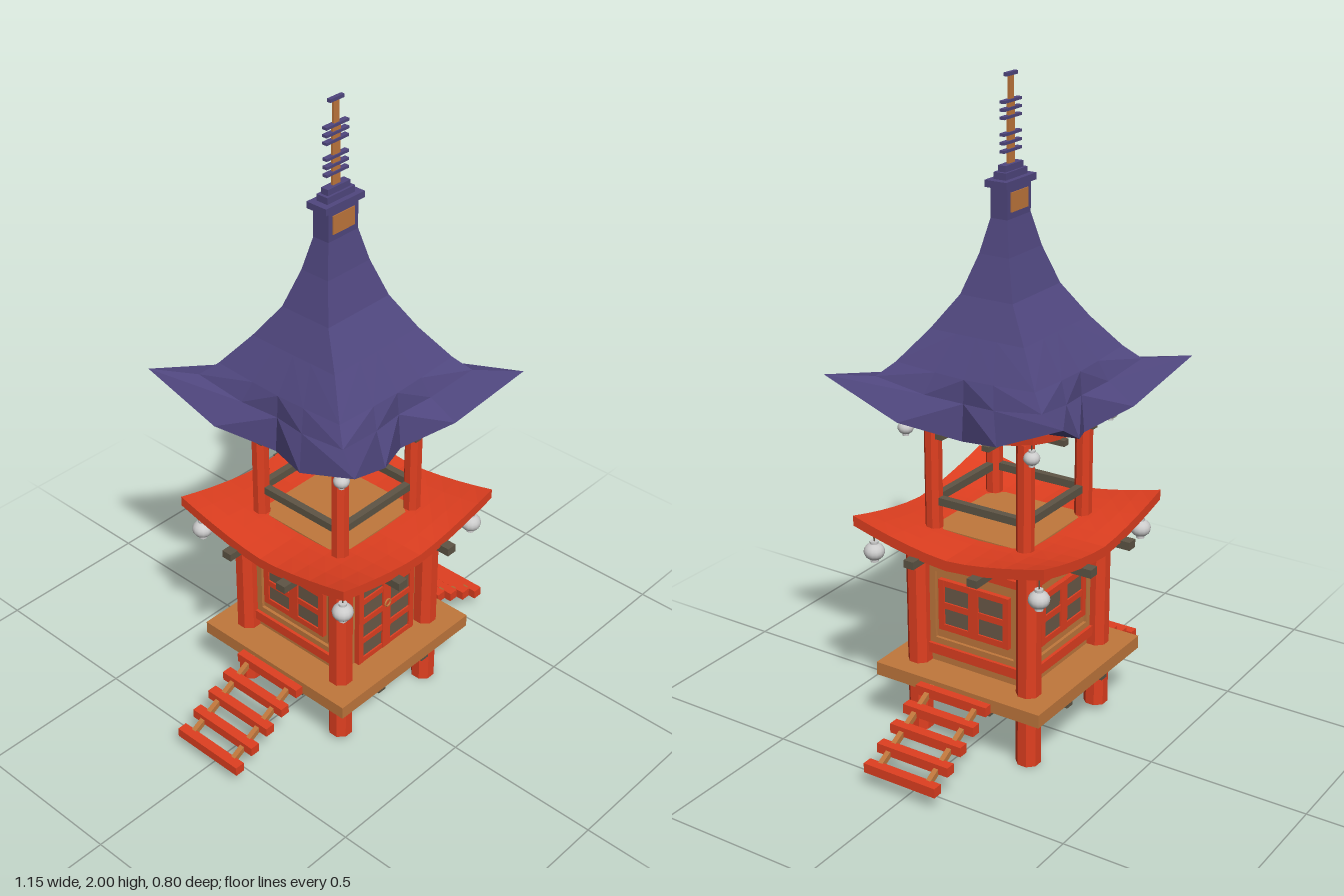
import * as THREE from 'three';

const mat = (color, side = THREE.FrontSide) =>
  new THREE.MeshStandardMaterial({ color, flatShading: true, side });
const RED = mat(0xe03f20), TAN = mat(0xc0773c), DARK = mat(0x5e5545), PANE = mat(0x6b5a48);
const PURPLE = mat(0x50477f, THREE.DoubleSide);
const GREY = new THREE.MeshStandardMaterial({ color: 0xcccccc });
const SIGNS = [-1, 1];

function add(parent, name, geometry, material, x = 0, y = 0, z = 0) {
  const m = new THREE.Mesh(geometry, material);
  m.name = name;
  m.position.set(x, y, z);
  parent.add(m);
  return m;
}
const box = (parent, name, material, w, h, d, x, y, z) =>
  add(parent, name, new THREE.BoxGeometry(w, h, d), material, x, y, z);

function group(parent, name) {
  const g = new THREE.Group();
  g.name = name;
  parent.add(g);
  return g;
}

// Four octagonal posts between two heights
function posts(parent, name, at, r, y0, y1, shortLeft = 0) {
  for (const sx of SIGNS) for (const sz of SIGNS) {
    const b = sx < 0 ? y0 + shortLeft : y0;
    add(parent, name, new THREE.CylinderGeometry(r, r, y1 - b, 8).rotateY(Math.PI / 8),
      RED, sx * at, (b + y1) / 2, sz * at);
  }
}

// Two beams each way, crossing
function beamGrid(parent, at, len, y, t, h) {
  for (const s of SIGNS) {
    box(parent, 'crossBeam', DARK, t, h, len, s * at, y, 0);
    box(parent, 'crossBeam', DARK, len, h - 0.002, t, 0, y, s * at);
  }
}

// Square slab whose corners sweep upward
function sweptEave(parent, half, y, t, lift) {
  const geo = new THREE.BoxGeometry(half * 2, t, half * 2, 10, 1, 10);
  const p = geo.attributes.position;
  for (let i = 0; i < p.count; i++) {
    const k = Math.abs(p.getX(i) * p.getZ(i)) / (half * half);
    p.setY(i, p.getY(i) + lift * Math.pow(k, 1.5));
  }
  geo.computeVertexNormals();
  add(parent, 'sweptEave', geo, RED, 0, y, 0);
}

function lanterns(parent, at, y, r) {
  for (const sx of SIGNS) for (const sz of SIGNS) {
    const g = group(parent, 'lantern');
    g.position.set(sx * at, y, sz * at);
    add(g, 'lanternBody', new THREE.SphereGeometry(r, 14, 10).scale(1, 0.85, 1), GREY);
    for (const s of SIGNS)
      add(g, 'lanternCap', new THREE.CylinderGeometry(r * 0.4, r * 0.4, r * 0.25, 10), GREY, 0, s * r * 0.9, 0);
    add(g, 'lanternCord', new THREE.CylinderGeometry(r * 0.08, r * 0.08, r * 1.6, 5), DARK, 0, r * 1.6, 0);
  }
}

// Pair of leaves with rows of panes, facing +z
function panedPair(parent, name, cx, cy, w, h, rows, z) {
  const g = group(parent, name);
  g.position.set(cx, cy, z);
  const pw = w * 0.35, pitch = (h - 0.02) / rows;
  box(g, 'panes', PANE, w - 0.02, h - 0.02, 0.012, 0, 0, 0);
  for (const s of SIGNS) {
    box(g, 'outerStile', RED, w * 0.08, h, 0.024, s * w * 0.46, 0, 0);
    box(g, 'innerStile', RED, w * 0.069, h, 0.024, s * w * 0.0345, 0, 0);
    for (let i = 0; i <= rows; i++)
      box(g, 'rail', RED, pw, 0.02, 0.022, s * w * 0.245, -h / 2 + 0.01 + i * pitch, 0);
  }
  return g;
}

// Layered purple roof: each ring is a square of 16 points, bowed at the mid sides
const STEPS = [-1, -0.42, 0, 0.42];
function ring({ hx, hz, mx = hx, mz = hz, y, my = y }) {
  const pts = [];
  for (let side = 0; side < 4; side++) for (const t of STEPS) {
    const a = Math.abs(t), s = side < 2 ? 1 : -1;
    const yy = my + (y - my) * Math.pow(a, 1.4);
    if (side % 2 === 0) pts.push([s * hx * t, yy, s * (mz + (hz - mz) * Math.pow(a, 0.8))]);
    else pts.push([s * (mx + (hx - mx) * Math.pow(a, 0.4)), yy, -s * hz * t]);
  }
  return pts;
}
function roofGeometry(specs) {
  const rings = specs.map(ring), v = [];
  for (let r = 0; r + 1 < rings.length; r++) for (let i = 0; i < 16; i++) {
    const j = (i + 1) % 16, [a, b] = [rings[r], rings[r + 1]];
    // split mirrored about each side's middle
    if (i % 4 < 2) v.push(a[i], b[i], a[j], b[i], b[j], a[j]);
    else v.push(a[i], b[i], b[j], a[i], b[j], a[j]);
  }
  const geo = new THREE.BufferGeometry();
  geo.setAttribute('position', new THREE.Float32BufferAttribute(v.flat(), 3));
  geo.computeVertexNormals();
  return geo;
}

function stairs(parent, s) {
  const g = group(parent, 'stairs');
  for (let i = 0; i < 5; i++)
    box(g, 'tread', RED, 0.032, 0.03, 0.25, s * (0.301 + i * 0.0648), 0.2 - i * 0.0335, 0);
  for (const sz of SIGNS) {
    const rail = box(g, 'stairRail', TAN, 0.32, 0.018, 0.016, s * 0.42, 0.138, sz * 0.085);
    rail.rotation.z = -s * Math.atan2(0.0335, 0.0648);
  }
}

export function createModel() {
  const model = new THREE.Group();
  model.name = 'pagodaTower';
  const body = group(model, 'body');
  body.position.z = 0.005;

  // Platform, its beams and the two stairs
  box(body, 'platform', TAN, 0.58, 0.042, 0.58, 0, 0.209, 0);
  beamGrid(body, 0.1, 0.56, 0.177, 0.03, 0.024);
  for (const s of SIGNS) stairs(body, s);

  // Lower room
  posts(body, 'lowerPost', 0.195, 0.038, 0, 0.645, 0.02);
  box(body, 'roomWalls', TAN, 0.36, 0.41, 0.36, 0, 0.43, 0);
  for (let i = 0; i < 4; i++) {
    const f = group(body, i ? 'windowWall' : 'doorWall');
    f.rotation.y = i * Math.PI / 2;
    box(f, 'topRail', RED, 0.35, 0.025, 0.03, 0, 0.568, 0.185);
    if (i === 0) {
      const door = panedPair(f, 'doors', 0.01, 0.388, 0.252, 0.32, 4, 0.186);
      add(door, 'doorRing', new THREE.TorusGeometry(0.012, 0.003, 6, 12), TAN, 0, 0.015, 0.015);
    } else {
      box(f, 'bottomRail', RED, 0.35, 0.032, 0.03, 0, 0.28, 0.185);
      for (const s of SIGNS) {
        box(f, 'windowSurround', TAN, 0.02, 0.26, 0.02, s * 0.15, 0.425, 0.18);
        box(f, 'windowSurround', TAN, 0.32, 0.02, 0.02, 0, 0.425 + s * 0.12, 0.18);
      }
      panedPair(f, 'window', 0, 0.432, 0.248, 0.165, 2, 0.184);
    }
  }

  // Lower eave
  beamGrid(body, 0.11, 0.72, 0.63, 0.034, 0.026);
  sweptEave(body, 0.33, 0.644, 0.032, 0.06);
  lanterns(body, 0.288, 0.6, 0.032);

  // Open upper storey
  box(body, 'balconyFloor', TAN, 0.33, 0.012, 0.33, 0, 0.659, 0);
  posts(body, 'upperPost', 0.16, 0.027, 0.64, 1.0);
  for (const s of SIGNS) {
    box(body, 'railing', DARK, 0.3, 0.024, 0.022, 0, 0.753, s * 0.16);
    box(body, 'railing', DARK, 0.022, 0.024, 0.3, s * 0.16, 0.753, 0);
  }
  beamGrid(body, 0.08, 0.49, 0.992, 0.024, 0.018);
  sweptEave(body, 0.228, 1.002, 0.023, 0.04);
  lanterns(body, 0.216, 0.985, 0.024);

  // Great roof, ending in a soffit
  add(model, 'greatRoof', roofGeometry([
    { hx: 0.06, hz: 0.028, y: 1.6 },
    { hx: 0.085, hz: 0.05, y: 1.5 },
    { hx: 0.125, hz: 0.088, y: 1.385 },
    { hx: 0.175, hz: 0.158, y: 1.285 },
    { hx: 0.238, hz: 0.234, y: 1.19, my: 1.18 },
    { hx: 0.275, hz: 0.28, mx: 0.242, mz: 0.24, y: 1.148, my: 1.11 },
    { hx: 0.36, hz: 0.4, mx: 0.25, mz: 0.25, y: 1.155, my: 1.0 },
    { hx: 0.2, hz: 0.2, y: 1.055, my: 1.025 },
  ]), PURPLE);

  // Roof neck with its stepped cap
  const top = group(model, 'finial');
  box(top, 'neck', PURPLE, 0.12, 0.1, 0.056, 0, 1.645, 0);
  for (const s of SIGNS) box(top, 'neckPanel', TAN, 0.086, 0.056, 0.006, 0, 1.647, s * 0.028);
  box(top, 'capStep', PURPLE, 0.154, 0.02, 0.072, 0, 1.7, 0);
  box(top, 'capStep', PURPLE, 0.11, 0.02, 0.04, 0, 1.72, 0);
  box(top, 'capStep', PURPLE, 0.09, 0.02, 0.026, 0, 1.738, 0);

  // Flat spire with rings
  box(top, 'spire', TAN, 0.03, 0.18, 0.008, 0, 1.835, 0);
  box(top, 'spireTip', TAN, 0.02, 0.07, 0.007, 0, 1.96, 0);
  for (const y of [1.785, 1.808, 1.832, 1.878, 1.9, 1.922])
    box(top, 'spirePlate', PURPLE, 0.088, 0.008, 0.016, 0, y, 0);
  box(top, 'spireCrown', PURPLE, 0.054, 0.01, 0.012, 0, 1.995, 0);
  return model;
}
